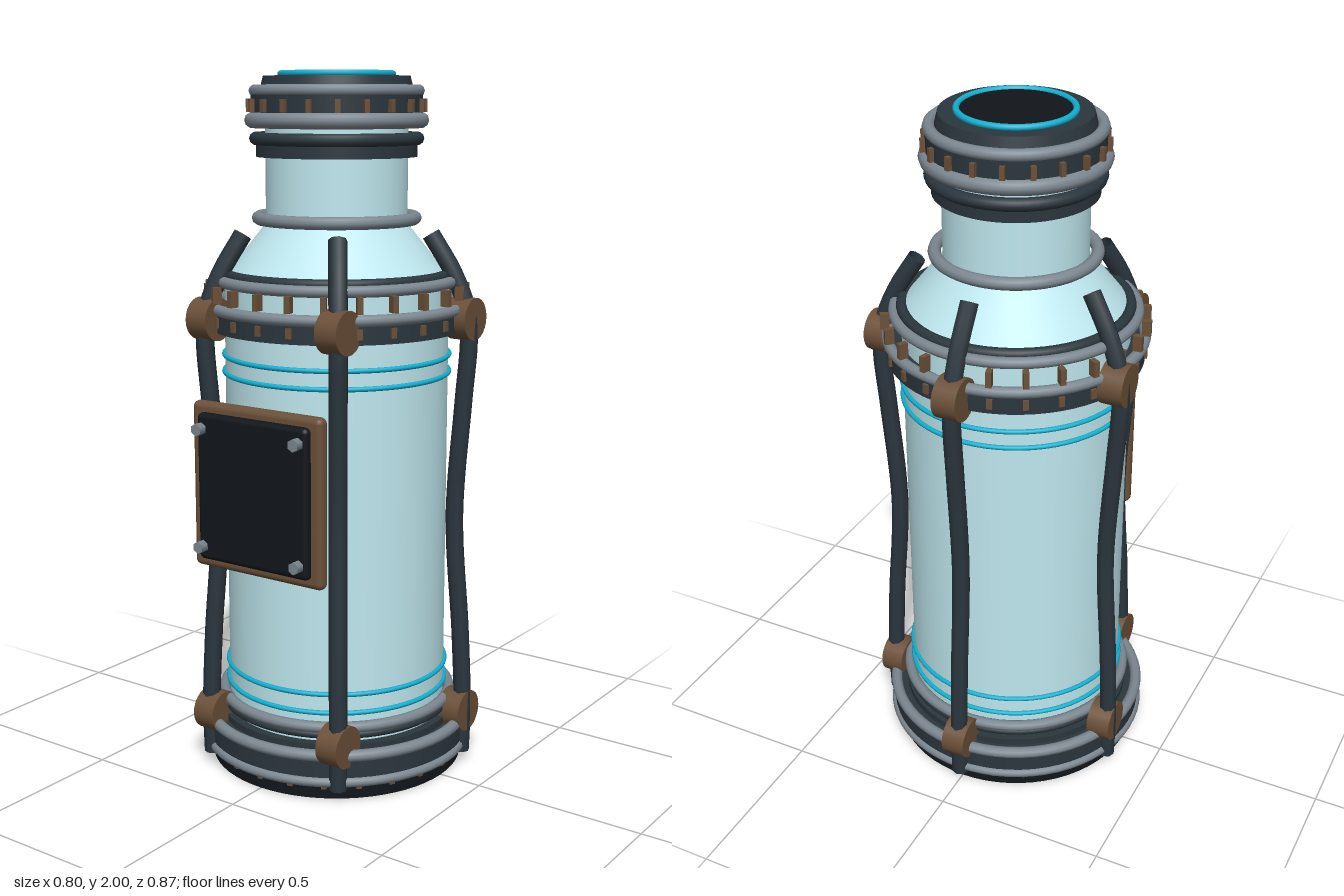
import * as THREE from 'three';
import { RoundedBoxGeometry } from 'three/addons/geometries/RoundedBoxGeometry.js';

const paint = (color) => new THREE.MeshStandardMaterial({ color });

export function createModel() {
  const root = new THREE.Group();
  const glass = paint(0xbfe8ef), dark = paint(0x2b363e), grey = paint(0x7c8790);
  const brown = paint(0x6b5039), cyan = paint(0x12b0d0), black = paint(0x11161b);

  const add = (name, geometry, material, x = 0, y = 0, z = 0, parent = root) => {
    const mesh = new THREE.Mesh(geometry, material);
    mesh.name = name;
    mesh.position.set(x, y, z);
    parent.add(mesh);
    return mesh;
  };
  // Horizontal torus; r is the outer radius
  const ring = (name, r, tube, y, material) =>
    add(name, new THREE.TorusGeometry(r - tube, tube, 10, 64).rotateX(Math.PI / 2), material, 0, y, 0);
  // Solid band between two heights
  const band = (name, r, y0, y1, material, rTop = r) =>
    add(name, new THREE.CylinderGeometry(rTop, r, y1 - y0, 64), material, 0, (y0 + y1) / 2, 0);
  // Small studs set around a band
  const studs = (name, count, r, y, w, h, d) => {
    const group = new THREE.Group();
    group.name = name;
    const geometry = new THREE.BoxGeometry(w, h, d);
    for (let i = 0; i < count; i++) {
      const a = (i / count) * Math.PI * 2;
      add('stud', geometry, brown, Math.sin(a) * r, y, Math.cos(a) * r, group).rotation.y = a;
    }
    root.add(group);
  };

  // Glass vessel: body, shoulder and neck as separate smooth surfaces
  band('glassBody', 0.32, 0.1, 1.43, glass);
  band('glassShoulder', 0.32, 1.43, 1.58, glass, 0.2);
  band('glassNeck', 0.2, 1.56, 1.88, glass);

  // Base
  band('basePlate', 0.372, 0, 0.05, black);
  studs('baseStuds', 24, 0.372, 0.038, 0.015, 0.015, 0.015);
  ring('baseLowerRing', 0.398, 0.015, 0.055, grey);
  band('baseBand', 0.388, 0.06, 0.13, dark);
  ring('baseUpperRing', 0.398, 0.017, 0.132, grey);
  band('baseStep', 0.345, 0.13, 0.15, dark);
  ring('lowerCollar', 0.352, 0.016, 0.198, grey);
  ring('lowerCollarSeal', 0.345, 0.012, 0.175, dark);

  // Glowing lines around the body
  for (const y of [0.235, 0.29, 1.16, 1.21]) ring('glowLine', 0.33, 0.007, y, cyan);

  // Shoulder collar
  band('collarBand', 0.362, 1.285, 1.34, dark);
  studs('collarStuds', 24, 0.362, 1.315, 0.016, 0.028, 0.014);
  ring('collarRing', 0.376, 0.016, 1.35, grey);
  studs('collarPegs', 24, 0.365, 1.392, 0.016, 0.045, 0.026);
  ring('shoulderRing', 0.354, 0.016, 1.425, grey);
  ring('shoulderSeal', 0.332, 0.016, 1.44, dark);

  // Neck and cap
  ring('neckRing', 0.24, 0.018, 1.595, grey);
  band('capSkirt', 0.226, 1.765, 1.805, dark);
  ring('capSkirtRing', 0.245, 0.018, 1.815, dark);
  ring('capLowerRing', 0.258, 0.022, 1.865, grey);
  band('capBand', 0.24, 1.865, 1.945, dark);
  studs('capStuds', 20, 0.242, 1.905, 0.014, 0.036, 0.022);
  ring('capUpperRing', 0.245, 0.017, 1.945, grey);
  band('capTop', 0.215, 1.945, 1.985, dark, 0.205);
  band('capLens', 0.158, 1.98, 1.992, black);
  ring('capGlow', 0.165, 0.009, 1.991, cyan);

  // Five bent cables with round clamps, evenly spaced from the back
  const profile = [[0.385, 0.035], [0.388, 0.17], [0.378, 0.4], [0.355, 0.75],
    [0.375, 1.08], [0.388, 1.26], [0.383, 1.34], [0.34, 1.45], [0.275, 1.555]];
  const clampGeometry = new THREE.CylinderGeometry(0.06, 0.06, 0.07, 24).rotateZ(Math.PI / 2);
  for (let i = 0; i < 5; i++) {
    const a = Math.PI + (i / 5) * Math.PI * 2;
    const sx = Math.sin(a), sz = Math.cos(a);
    const path = new THREE.CatmullRomCurve3(
      profile.map(([r, y]) => new THREE.Vector3(sx * r, y, sz * r)));
    const cable = add('cable', new THREE.TubeGeometry(path, 48, 0.026, 8), dark);
    cable.material = dark.clone();
    cable.material.side = THREE.DoubleSide;
    for (const y of [0.163, 1.323]) add('clamp', clampGeometry, brown, sx * 0.375, y, sz * 0.375);
  }

  // Front panel with corner bolts
  const panel = new THREE.Group();
  panel.name = 'frontPanel';
  panel.position.y = 0.867;
  root.add(panel);
  add('panelFrame', new RoundedBoxGeometry(0.445, 0.475, 0.04, 4, 0.018), brown, 0, 0, 0.365, panel);
  add('panelPlate', new RoundedBoxGeometry(0.38, 0.42, 0.04, 4, 0.016), black, 0, 0, 0.385, panel);
  const head = new THREE.CylinderGeometry(0.018, 0.018, 0.024, 6).rotateX(Math.PI / 2);
  const shank = new THREE.CylinderGeometry(0.01, 0.01, 0.03, 12).rotateX(Math.PI / 2);
  for (const x of [-0.166, 0.166]) for (const y of [-0.168, 0.168]) {
    add('boltHead', head, grey, x, y, 0.422, panel);
    add('boltShank', shank, grey, x, y, 0.402, panel);
  }
  return root;
}
